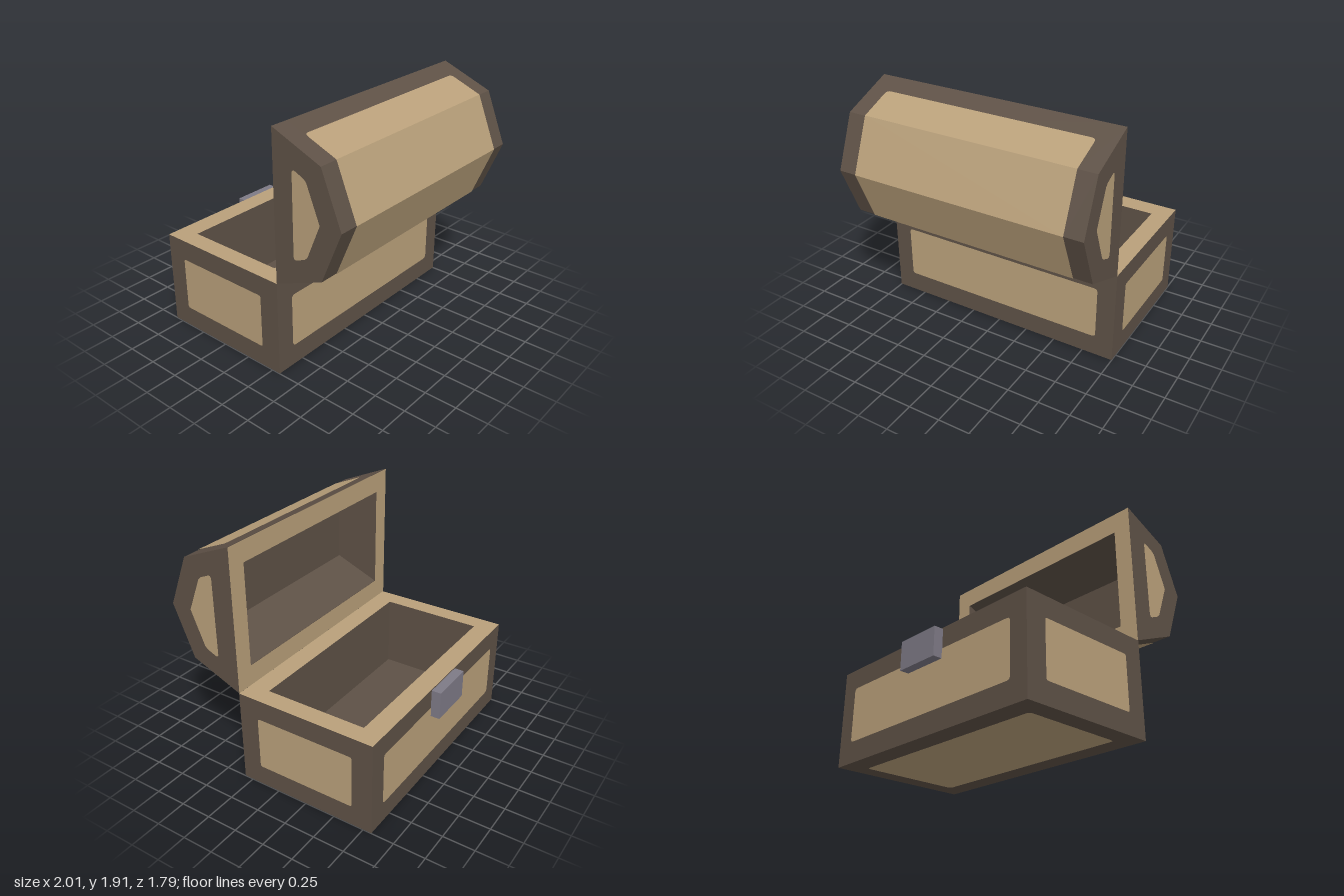
import * as THREE from 'three';

const V = (x, y, z) => new THREE.Vector3(x, y, z);
const X = V(1, 0, 0), Y = V(0, 1, 0), Z = V(0, 0, 1);
const BACK = -0.82, HINGE = 0.322, BODY_H = 0.755;
const MID_Z = (BACK + HINGE) / 2, DEPTH = HINGE - BACK;
const LID_Y = 1.33, IN_X = 0.855, LIFT = 0.003;

// Rectangle centred on x, with separate bottom and top corner radii
function rounded(w, h, rb, rt, y0 = -h / 2) {
  const s = new THREE.Shape(), a = w / 2, y1 = y0 + h;
  s.moveTo(-a + rb, y0);
  s.lineTo(a - rb, y0);
  if (rb) s.quadraticCurveTo(a, y0, a, y0 + rb);
  s.lineTo(a, y1 - rt);
  if (rt) s.quadraticCurveTo(a, y1, a - rt, y1);
  s.lineTo(-a + rt, y1);
  if (rt) s.quadraticCurveTo(-a, y1, -a, y1 - rt);
  s.lineTo(-a, y0 + rb);
  if (rb) s.quadraticCurveTo(-a, y0, -a + rb, y0);
  return s;
}

const polygon = pts => new THREE.Shape(pts.map(([a, b]) => new THREE.Vector2(a, b)));

export function createModel() {
  const group = new THREE.Group();
  const mat = (name, color) => {
    const m = new THREE.MeshStandardMaterial({ color });
    m.name = name;
    return m;
  };
  const dark = mat('dark wood', 0x5e5146);
  const tan = mat('tan wood', 0xb9a07a);
  const metal = mat('grey metal', 0x7e7a86);

  function add(name, geometry, material, parent = group) {
    const mesh = new THREE.Mesh(geometry, material);
    mesh.name = name;
    parent.add(mesh);
    return mesh;
  }

  // Flat face laid on the plane spanned by u and v, facing u x v
  function face(name, shape, origin, u, v, parent) {
    const n = u.clone().cross(v);
    const m = new THREE.Matrix4().makeBasis(u, v, n).setPosition(origin);
    add(name, new THREE.ShapeGeometry(shape, 4).applyMatrix4(m), tan, parent);
  }

  // Profile in (z, y), extruded along x about centre cx
  function alongX(name, pts, length, cx, parent) {
    const g = new THREE.ExtrudeGeometry(polygon(pts), { depth: length, bevelEnabled: false });
    g.rotateY(-Math.PI / 2).translate(cx + length / 2, 0, 0);
    add(name, g, dark, parent);
  }

  // ---- Body: hollow walls with a tan rim, and a floor
  const body = new THREE.Group();
  body.name = 'body';
  group.add(body);
  const floor = 0.16, inD = 0.82;
  const ring = rounded(2, DEPTH, 0, 0);
  ring.holes.push(rounded(IN_X * 2, inD, 0, 0));
  const walls = new THREE.ExtrudeGeometry(ring, { depth: BODY_H - floor, bevelEnabled: false });
  walls.rotateX(-Math.PI / 2).translate(0, floor, MID_Z);
  add('bodyWalls', walls, [tan, dark], body);
  add('bodyFloor', new THREE.BoxGeometry(2, floor, DEPTH).translate(0, floor / 2, MID_Z), dark, body);

  // Body panels
  const long = rounded(IN_X * 2, 0.43, 0.03, 0.03);
  const short = rounded(0.815, 0.43, 0.02, 0.02);
  const py = 0.38, nx = X.clone().negate(), nz = Z.clone().negate();
  face('frontPanel', long, V(0, py, HINGE + LIFT), X, Y, body);
  face('backPanel', long, V(0, py, BACK - LIFT), nx, Y, body);
  face('leftPanel', short, V(1 + LIFT, py, MID_Z), nz, Y, body);
  face('rightPanel', short, V(-1 - LIFT, py, MID_Z), Z, Y, body);
  face('bottomPanel', rounded(IN_X * 2, 0.815, 0.03, 0.03), V(0, -LIFT, MID_Z), X, Z, body);

  // ---- Lid, standing open: grooved middle and two solid ends
  const lid = new THREE.Group();
  lid.name = 'lid';
  group.add(lid);
  const outer = [[HINGE, 0.758], [0.73, 0.925], [0.895, LID_Y], [0.73, 1.735], [HINGE, 1.902]];
  const groove = [[HINGE, 1.74], [0.7, 1.585], [0.7, 1.075], [HINGE, 0.92]];
  alongX('lidShell', [...outer, ...groove], IN_X * 2, 0, lid);
  for (const s of [-1, 1])
    alongX(s > 0 ? 'lidLeftEnd' : 'lidRightEnd', outer, 1 - IN_X, s * (1 + IN_X) / 2, lid);

  // Lid rim around the opening
  const rim = rounded(2, 1.144, 0, 0);
  rim.holes.push(rounded(IN_X * 2, 0.82, 0, 0));
  face('lidRim', rim, V(0, LID_Y, HINGE - LIFT), nx, Y, lid);

  // Panel wrapped over the four slopes of the lid
  const wrap = [[0.47, 0.819], ...outer.slice(1, 4), [0.47, 1.841]]
    .map(([z, y]) => V(0, LID_Y + (y - LID_Y) * 1.007, HINGE + (z - HINGE) * 1.007));
  for (let i = 0; i < 4; i++) {
    const v = wrap[i + 1].clone().sub(wrap[i]), h = v.length();
    const shape = rounded(IN_X * 2, h, i === 0 ? 0.035 : 0, i === 3 ? 0.035 : 0, 0);
    face('lidPanel' + (i + 1), shape, wrap[i], X, v.normalize(), lid);
  }

  // Lid end panels
  const half = [[0.49, 0.305], [0.5, 0.32], [0.515, 0.32], [0.59, 0.287], [0.612, 0.265]];
  const endPts = [
    ...half.map(([z, d]) => [z, LID_Y - d]),
    [0.72, LID_Y],
    ...half.slice().reverse().map(([z, d]) => [z, LID_Y + d]),
  ];
  face('lidRightPanel', polygon(endPts), V(-1 - LIFT, 0, 0), Z, Y, lid);
  face('lidLeftPanel', polygon(endPts.map(([z, y]) => [-z, y])), V(1 + LIFT, 0, 0), nz, Y, lid);

  // ---- Latch
  add('latch', new THREE.BoxGeometry(0.37, 0.225, 0.075).translate(0, 0.633, BACK - 0.0375), metal);

  return group;
}
